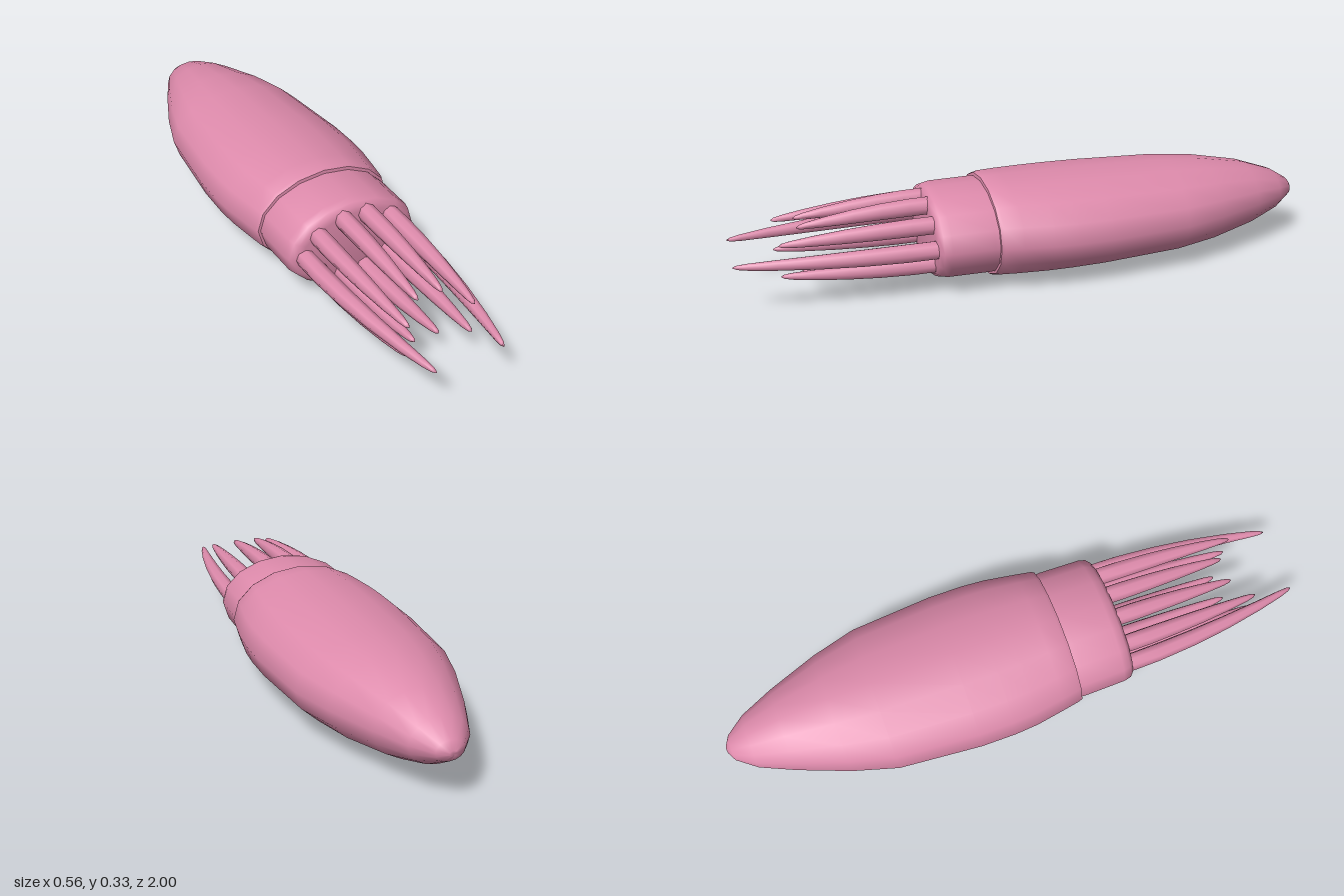
import * as THREE from 'three';
import { toCreasedNormals } from 'three/addons/utils/BufferGeometryUtils.js';

const CENTER_Y = 0.168;

// Skins elliptical rings [z, rx, ry, cx, cy], ordered back to front, with closed ends.
function loft(rings, sides, crease) {
  const pos = [], index = [];
  for (const [z, rx, ry, cx = 0, cy = CENTER_Y] of rings) {
    for (let i = 0; i < sides; i++) {
      const a = (i / sides) * Math.PI * 2;
      pos.push(cx + Math.cos(a) * rx, cy + Math.sin(a) * ry, z);
    }
  }
  for (let r = 0; r < rings.length - 1; r++) {
    for (let i = 0; i < sides; i++) {
      const j = (i + 1) % sides, a = r * sides + i, b = r * sides + j;
      index.push(a, b, b + sides, a, b + sides, a + sides);
    }
  }
  const addCap = (r, front) => {
    const [z, , , cx = 0, cy = CENTER_Y] = rings[r];
    const c = pos.length / 3;
    pos.push(cx, cy, z);
    for (let i = 0; i < sides; i++) {
      const a = r * sides + i, b = r * sides + (i + 1) % sides;
      if (front) index.push(c, a, b);
      else index.push(c, b, a);
    }
  };
  addCap(0, false);
  addCap(rings.length - 1, true);
  const g = new THREE.BufferGeometry();
  g.setAttribute('position', new THREE.Float32BufferAttribute(pos, 3));
  g.setIndex(index);
  return toCreasedNormals(g, crease);
}

export function createModel() {
  const group = new THREE.Group();
  group.name = 'squid';
  const pink = new THREE.MeshStandardMaterial({ color: 0xdd8aab });
  pink.name = 'pink skin';
  const add = (name, geometry) => {
    const mesh = new THREE.Mesh(geometry, pink);
    mesh.name = name;
    group.add(mesh);
  };

  // Torpedo-shaped mantle, pointed at the back
  add('mantle', loft([
    [-0.998, 0.012, 0.008], [-0.98, 0.045, 0.032], [-0.915, 0.095, 0.072],
    [-0.8, 0.147, 0.112], [-0.63, 0.213, 0.142], [-0.48, 0.257, 0.154],
    [-0.2, 0.281, 0.163], [-0.08, 0.281, 0.165], [0, 0.275, 0.166],
    [0.1, 0.258, 0.167], [0.16, 0.247, 0.166], [0.172, 0.242, 0.161],
    [0.174, 0.225, 0.148],
  ], 16, 0.9));

  // Short head with a rounded front rim
  add('head', loft([
    [0.15, 0.232, 0.148], [0.19, 0.235, 0.151], [0.33, 0.232, 0.15],
    [0.355, 0.226, 0.145], [0.368, 0.212, 0.134], [0.372, 0.19, 0.115],
  ], 16, 1.2));

  // Ten tapering arms in a ring: base x, base height, tip x, tip height, tip z
  const arms = [
    [0.042, 0.102, 0.042, 0.078, 0.79],
    [0.130, 0.067, 0.112, 0.052, 0.855],
    [0.178, 0, 0.114, 0, 1.0],
  ];
  // Fraction along the arm and radius scale
  const taper = [[0, 1], [0.2, 1], [0.4, 0.92], [0.6, 0.78], [0.8, 0.57],
    [0.93, 0.38], [0.98, 0.24], [1, 0.06]];
  const z0 = 0.34;
  for (const [bx, by, tx, ty, tz] of arms) {
    for (const sx of [1, -1]) {
      for (const sy of by ? [1, -1] : [1]) {
        const rings = taper.map(([t, s]) => {
          const bend = t * t;
          const r = 0.031 * s;
          return [z0 + (tz - z0) * t, r, r,
            sx * (bx + (tx - bx) * bend), CENTER_Y + sy * (by + (ty - by) * bend)];
        });
        const height = by === 0 ? 'middle' : sy > 0 ? 'upper' : 'lower';
        const row = bx < 0.1 ? 'Inner' : 'Outer';
        add(`${height}${row}${sx > 0 ? 'Left' : 'Right'}Arm`, loft(rings, 8, 1.3));
      }
    }
  }
  return group;
}
